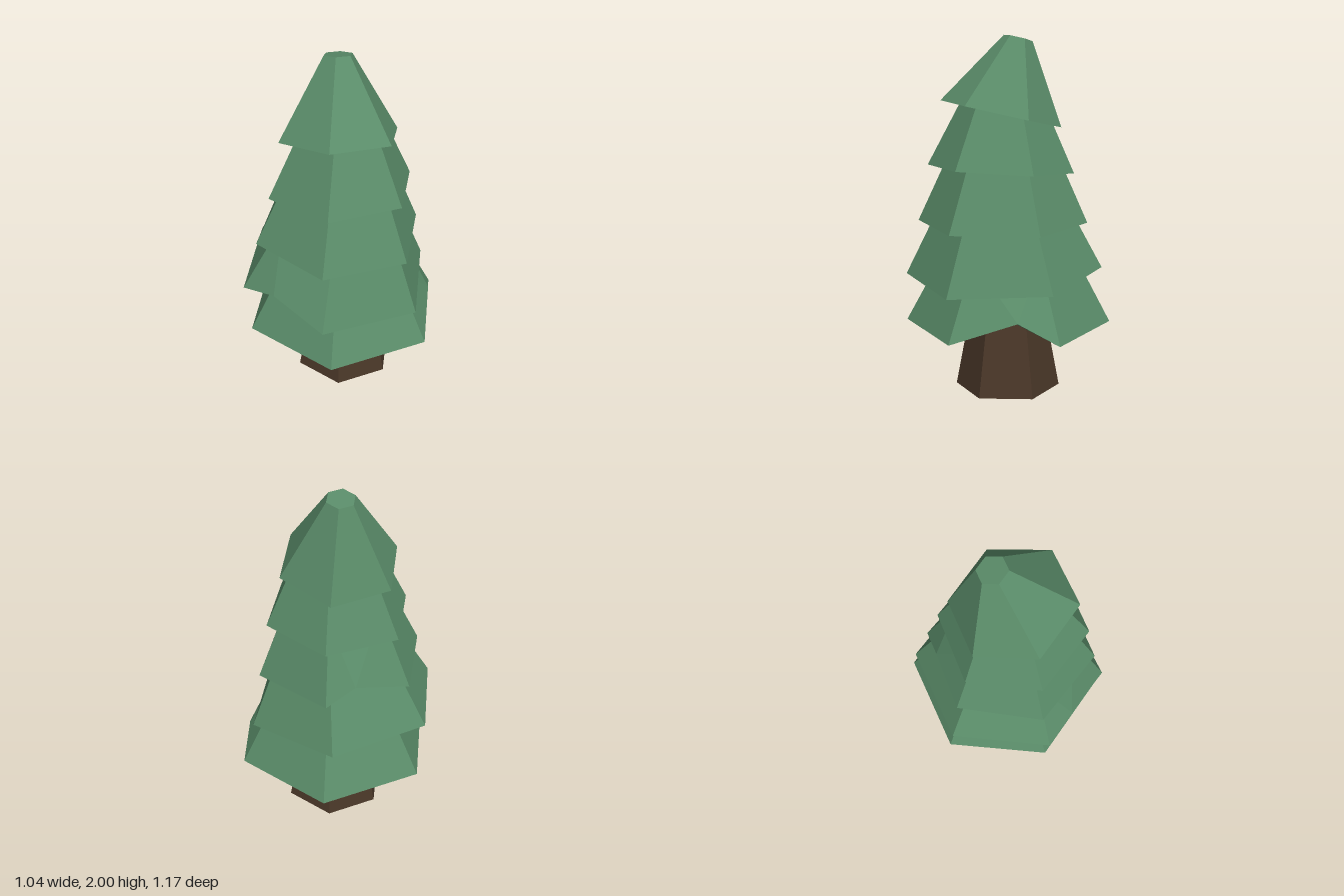
import * as THREE from 'three';

const leafMat = new THREE.MeshStandardMaterial({ color: 0x5a8c69, flatShading: true });
const barkMat = new THREE.MeshStandardMaterial({ color: 0x4a3728, flatShading: true });

// Tilted hexagon with one extra point per side; point 0 faces +z.
// c = [x, y, z] centre, tilt = rise per unit of x and z, notch = { side, at }
function hexRing(c, r, tilt, turn, notch) {
  const corner = (k) => {
    const a = (k * 60 + turn) * Math.PI / 180;
    const x = r * Math.sin(a), z = r * Math.cos(a);
    return new THREE.Vector3(c[0] + x, c[1] + x * tilt[0] + z * tilt[1], c[2] + z);
  };
  const ring = [];
  for (let k = 0; k < 6; k++) {
    const f = notch && notch.side === k ? notch.at : 0.5;
    ring.push(corner(k), corner(k).lerp(corner(k + 1), f));
  }
  return ring;
}

// Faceted surface through a list of rings, closed by a fan at both ends
function loft(rings, material, name) {
  const pos = [];
  const tri = (...pts) => pts.forEach((p) => pos.push(p.x, p.y, p.z));
  const n = rings[0].length;
  const centre = (ring) => ring.reduce((s, p) => s.add(p), new THREE.Vector3()).divideScalar(n);
  const first = rings[0], last = rings[rings.length - 1];
  const c0 = centre(first), c1 = centre(last);
  for (let i = 0; i < n; i++) {
    const j = (i + 1) % n;
    tri(c0, first[i], first[j]);
    for (let k = 0; k < rings.length - 1; k++) {
      const a = rings[k], b = rings[k + 1];
      // the diagonal always starts at a corner, so a notch folds evenly
      if (i % 2) {
        tri(a[i], b[i], a[j]);
        tri(a[j], b[i], b[j]);
      } else {
        tri(a[i], b[i], b[j]);
        tri(a[i], b[j], a[j]);
      }
    }
    tri(c1, last[j], last[i]);
  }
  const geo = new THREE.BufferGeometry();
  geo.setAttribute('position', new THREE.Float32BufferAttribute(pos, 3));
  geo.computeVertexNormals();
  const mesh = new THREE.Mesh(geo, material);
  mesh.name = name;
  return mesh;
}

// One skirt of branches: outer slope, thick rim and a hollow underside
function branchTier(t, index) {
  const top = hexRing(t.top, t.topR, t.tilt, t.turn, t.notch);
  const base = hexRing(t.base, t.r, t.tilt, t.turn, t.notch);
  const inner = hexRing(t.base, t.r * 0.86, t.tilt, t.turn, t.notch);
  const ceiling = inner.map((p, i) => {
    const end = top[i].clone();
    end.x = t.top[0] + (end.x - t.top[0]) * 0.86;
    end.z = t.top[2] + (end.z - t.top[2]) * 0.86;
    return p.clone().lerp(end, 0.3);
  });
  if (t.notch) {
    const i = t.notch.side * 2 + 1;
    base[i].y += t.notch.lift;
    inner[i].y += t.notch.lift - 0.02;
  }
  return loft([top, base, inner, ceiling], leafMat, 'branchTier' + (index + 1));
}

const tiers = [
  { base: [0.015, 0.38, 0], r: 0.585, top: [0.02, 0.8, 0], topR: 0.36, tilt: [0, 0], turn: 0,
    notch: { side: 0, at: 0.62, lift: 0.12 } },
  { base: [-0.03, 0.665, -0.025], r: 0.565, top: [-0.015, 1.08, 0.01], topR: 0.35, tilt: [-0.01, -0.097], turn: 0,
    notch: { side: 4, at: 0.4, lift: 0.07 } },
  { base: [-0.027, 0.955, -0.005], r: 0.485, top: [-0.015, 1.38, 0.005], topR: 0.29, tilt: [-0.017, -0.03], turn: -3,
    notch: { side: 2, at: 0.35, lift: 0.085 } },
  { base: [-0.027, 1.258, 0.013], r: 0.415, top: [-0.01, 1.7, 0.01], topR: 0.2, tilt: [-0.035, 0.045], turn: -2.5 },
  { base: [-0.03, 1.567, 0.005], r: 0.34, top: [0.045, 1.985, -0.058], topR: 0.08, tilt: [-0.17, 0.147], turn: -1.5 },
];

export function createModel() {
  const tree = new THREE.Group();
  tree.name = 'pineTree';

  // Tapered six-sided trunk
  const trunk = new THREE.Mesh(new THREE.CylinderGeometry(0.2, 0.298, 0.52, 6), barkMat);
  trunk.position.set(0.016, 0.26, 0.005);
  trunk.name = 'trunk';
  tree.add(trunk);

  // Stacked skirts of branches
  const foliage = new THREE.Group();
  foliage.name = 'foliage';
  tiers.forEach((t, i) => foliage.add(branchTier(t, i)));
  tree.add(foliage);
  return tree;
}
